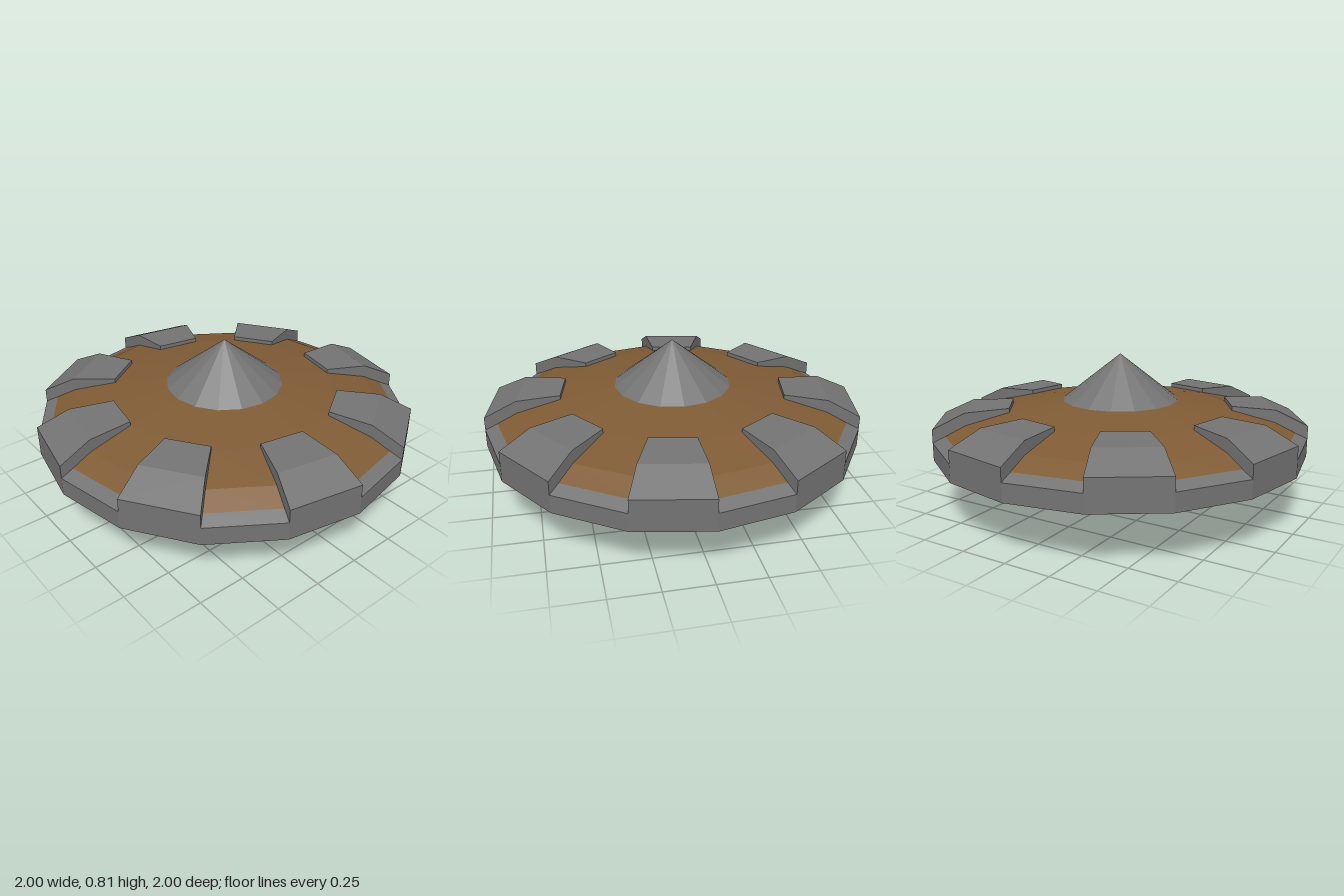
import * as THREE from 'three';

const SIDES = 16;
const STEP = (Math.PI * 2) / SIDES;

export function createModel() {
  const iron = new THREE.MeshStandardMaterial({ color: 0x737373, flatShading: true });
  iron.name = 'grey iron';
  const wood = new THREE.MeshStandardMaterial({ color: 0x7f5b35, flatShading: true });
  wood.name = 'brown wood';

  const model = new THREE.Group();
  model.name = 'roundShield';

  const add = (name, geometry, material, parent = model) => {
    const mesh = new THREE.Mesh(geometry, material);
    mesh.name = name;
    parent.add(mesh);
    return mesh;
  };
  const lathe = (points) =>
    new THREE.LatheGeometry(points.map(([r, y]) => new THREE.Vector2(r, y)), SIDES);
  const outline = (points) => new THREE.Shape(points.map(([x, y]) => new THREE.Vector2(x, y)));

  // Disc: flat iron back and rim, domed wooden face, pointed iron boss
  add('rim', lathe([[0, 0.29], [1, 0.29], [1, 0.385], [0.935, 0.415]]), iron);
  add('woodenFace', lathe([[0.935, 0.415], [0.83, 0.467], [0.6, 0.525], [0.31, 0.57]]), wood);
  add('boss', lathe([[0.31, 0.57], [0, 0.815]]), iron);

  // Clamps: one profile swept across every second side of the disc
  const clampGeometry = new THREE.ExtrudeGeometry(
    outline([[1, 0.385], [1, 0.455], [0.83, 0.535], [0.6, 0.547], [0.6, 0.5], [0.83, 0.44]]),
    { depth: 1, steps: 1, bevelEnabled: false }
  );
  const pos = clampGeometry.attributes.position;
  for (let i = 0; i < pos.count; i++) {
    const r = pos.getX(i);
    const a = pos.getZ(i) * STEP;
    pos.setXYZ(i, r * Math.cos(a), pos.getY(i), r * Math.sin(a));
  }
  clampGeometry.computeVertexNormals();
  const clamps = new THREE.Group();
  clamps.name = 'rimClamps';
  model.add(clamps);
  for (let i = 0; i < SIDES; i += 2) {
    add('rimClamp', clampGeometry, iron, clamps).rotation.y = i * STEP;
  }

  // Handle: two posts with chamfered outer corners, joined by a tapered grip
  const handle = new THREE.Group();
  handle.name = 'handle';
  model.add(handle);
  const postGeometry = new THREE.ExtrudeGeometry(
    outline([[0.11, -0.08], [0.265, -0.08], [0.29, -0.035], [0.29, 0.035], [0.265, 0.08], [0.11, 0.08]]),
    { depth: 0.22, bevelEnabled: false }
  ).rotateX(-Math.PI / 2).translate(0, 0.07, 0);
  for (const turn of [0, Math.PI]) add('handlePost', postGeometry, wood, handle).rotation.y = turn;

  // Grip: octagonal bar narrowing towards its underside
  const gripGeometry = new THREE.ExtrudeGeometry(
    outline([
      [0.265, -0.08], [0.29, -0.035], [0.29, 0.035], [0.265, 0.08],
      [-0.265, 0.08], [-0.29, 0.035], [-0.29, -0.035], [-0.265, -0.08],
    ]),
    { depth: 0.07, bevelEnabled: false }
  ).rotateX(-Math.PI / 2);
  const grip = gripGeometry.attributes.position;
  for (let i = 0; i < grip.count; i++) {
    if (grip.getY(i) < 0.01) {
      grip.setX(i, grip.getX(i) - Math.sign(grip.getX(i)) * 0.05);
      grip.setZ(i, grip.getZ(i) * 0.55);
    }
  }
  gripGeometry.computeVertexNormals();
  add('handleGrip', gripGeometry, wood, handle);

  return model;
}
